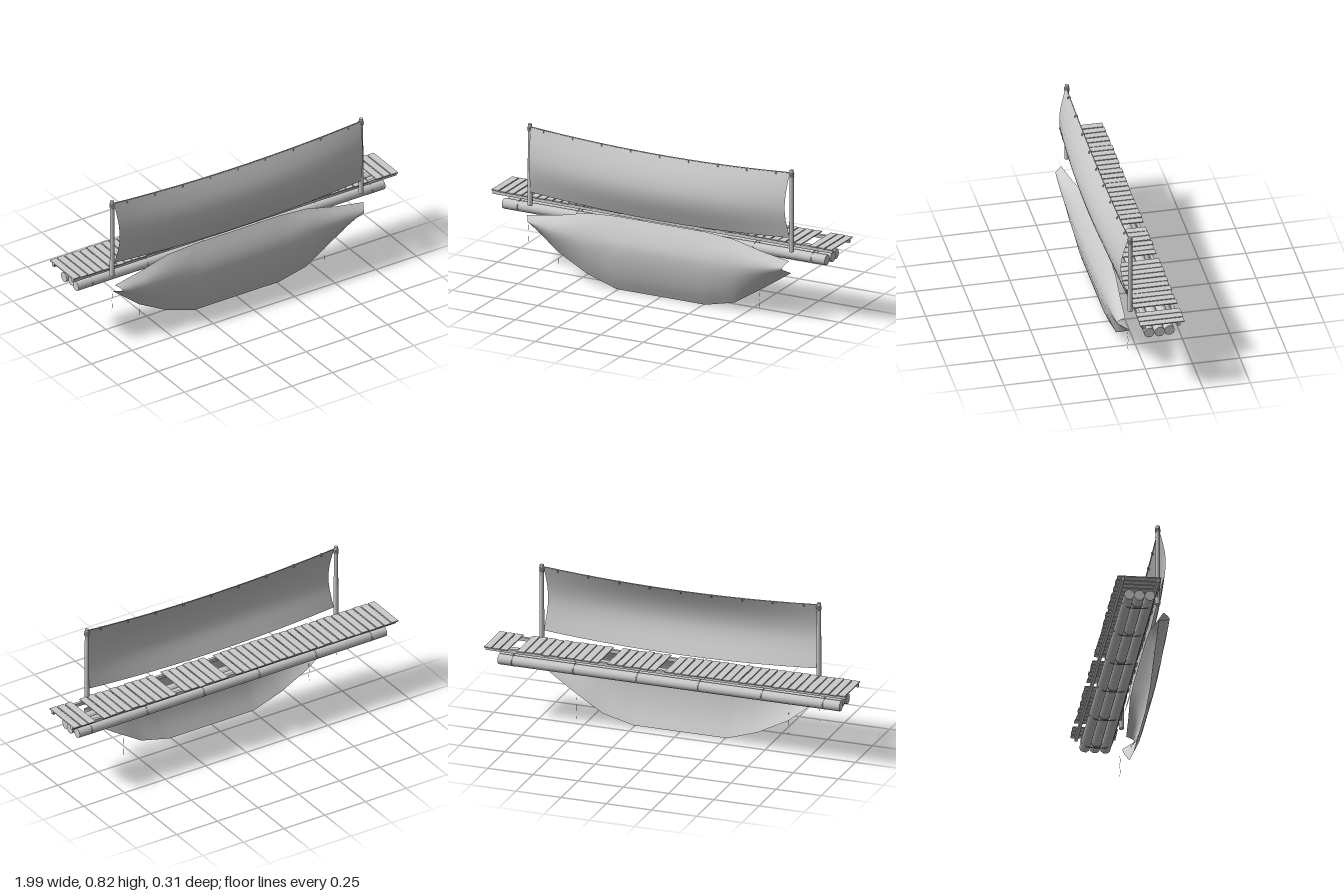
import * as THREE from 'three';

const grey = new THREE.MeshStandardMaterial({ color: 0xcccccc });
const flat = new THREE.MeshStandardMaterial({ color: 0xcccccc, flatShading: true });
const cloth = new THREE.MeshStandardMaterial({ color: 0xcccccc, side: THREE.DoubleSide });

const V = (x, y, z) => new THREE.Vector3(x, y, z);
const lerp = THREE.MathUtils.lerp;

let seed = 7;
const jitter = (a) => {
  seed = (seed * 16807) % 2147483647;
  return (seed / 2147483647 - 0.5) * 2 * a;
};

function add(parent, name, geometry, material, x = 0, y = 0, z = 0) {
  const mesh = new THREE.Mesh(geometry, material);
  mesh.name = name;
  mesh.position.set(x, y, z);
  parent.add(mesh);
  return mesh;
}

function rope(parent, name, points, radius, segments = 16, closed = false, sides = 5) {
  const curve = new THREE.CatmullRomCurve3(points, closed, 'centripetal');
  return add(parent, name, new THREE.TubeGeometry(curve, segments, radius, sides, closed), grey);
}

// Open sheet of cloth: point(u, v) with u along x and v from top to bottom
function sheet(parent, name, nu, nv, point) {
  const pos = [], idx = [];
  for (let i = 0; i <= nu; i++) {
    for (let j = 0; j <= nv; j++) {
      pos.push(...point(i / nu, j / nv).toArray());
      if (i < nu && j < nv) {
        const a = i * (nv + 1) + j, b = a + nv + 1;
        idx.push(a, a + 1, b, b, a + 1, b + 1);
      }
    }
  }
  const g = new THREE.BufferGeometry();
  g.setAttribute('position', new THREE.Float32BufferAttribute(pos, 3));
  g.setIndex(idx);
  g.computeVertexNormals();
  return add(parent, name, g, cloth);
}

const topEdge = (x) => 0.782 + 0.03 * (x / 0.765) ** 2;

function upperSail(parent) {
  const profile = new THREE.CatmullRomCurve3(
    [[0, 0], [0.22, 0.62], [0.45, 1], [0.62, 0.95], [0.82, 0.55], [1, 0.1]].map(([t, d]) => V(t, d, 0)));
  sheet(parent, 'upperSail', 24, 10, (u, v) => {
    const s = u * 2 - 1;
    const p = profile.getPoint(v);
    const x = s * (0.76 - 0.012 * Math.sin(Math.PI * v) * Math.abs(s) ** 6);
    const bottom = 0.425 + 0.033 * s * s;
    return V(x, lerp(topEdge(x), bottom, p.x), 0.092 + p.y * (0.062 - 0.025 * s * s));
  });

  // Head rope with lashing rings
  rope(parent, 'headRope', Array.from({ length: 13 }, (_, i) => {
    const x = -0.765 + i * 1.53 / 12;
    return V(x, topEdge(x) + 0.002, 0.09);
  }), 0.003, 36);
  const ring = new THREE.TorusGeometry(0.007, 0.003, 5, 10).rotateY(Math.PI / 2);
  for (let i = -4; i <= 4; i++) add(parent, 'sailRing', ring, grey, i * 0.17, topEdge(i * 0.17) - 0.004, 0.092);
}

function lowerSail(parent) {
  // Each station: x, then [y, z] from the top edge to the bottom edge
  const stations = [
    [-0.768, [0.335, 0.115], [0.325, 0.138], [0.312, 0.15], [0.302, 0.13], [0.288, 0.09]],
    [-0.6, [0.358, 0.1], [0.315, 0.142], [0.27, 0.15], [0.2, 0.118], [0.15, 0.084]],
    [-0.43, [0.395, 0.088], [0.33, 0.132], [0.25, 0.15], [0.14, 0.122], [0.06, 0.086]],
    [-0.26, [0.405, 0.085], [0.33, 0.126], [0.25, 0.15], [0.1, 0.124], [0.004, 0.083]],
    [0.26, [0.405, 0.085], [0.33, 0.126], [0.25, 0.15], [0.1, 0.124], [0.004, 0.083]],
    [0.43, [0.393, 0.088], [0.33, 0.132], [0.25, 0.15], [0.13, 0.122], [0.045, 0.086]],
    [0.6, [0.358, 0.1], [0.315, 0.142], [0.27, 0.15], [0.2, 0.116], [0.152, 0.083]],
    [0.765, [0.335, 0.11], [0.318, 0.135], [0.3, 0.15], [0.283, 0.125], [0.262, 0.088]],
  ];
  const curves = stations.map(([x, ...p]) => new THREE.CatmullRomCurve3(p.map(([y, z]) => V(x, y, z))));
  const n = stations.length - 1;
  sheet(parent, 'lowerSail', n * 4, 10, (u, v) => {
    const k = Math.min(Math.floor(u * n + 1e-6), n - 1);
    const p = curves[k].getPoint(v).lerp(curves[k + 1].getPoint(v), u * n - k);
    // Ends pull inward along the fold
    p.x -= Math.sign(p.x) * 0.022 * Math.sin(Math.PI * v) * Math.abs(p.x / 0.765) ** 8;
    return p;
  });

  // Frayed lines hanging from the lower edge
  for (const [x, y, z] of [[-0.77, 0.29, 0.088], [-0.6, 0.195, 0.083], [0.56, 0.13, 0.05]]) {
    rope(parent, 'looseLine', [0, 1, 2, 3, 4].map((i) => V(x, y - i * 0.03, z + (i % 2) * 0.004)), 0.0008, 10, false, 3);
  }
}

function deck(parent) {
  const count = 44, pitch = 2 / count, missing = [22, 29, 40];
  for (let i = 0; i < count; i++) {
    if (missing.includes(i)) continue;
    const plank = add(parent, 'plank', new THREE.BoxGeometry(pitch - 0.006, 0.006, 0.232 + jitter(0.004)), flat,
      -1 + (i + 0.5) * pitch, 0.423 + jitter(0.001), -0.037 + jitter(0.003));
    plank.rotation.y = jitter(0.008);
  }
  for (const z of [0.06, -0.124]) {
    add(parent, 'deckRail', new THREE.BoxGeometry(1.99, 0.018, 0.016), flat, 0, 0.41, z);
  }
}

function logs(parent) {
  const log = new THREE.CylinderGeometry(0.028, 0.028, 1.89, 10).rotateZ(Math.PI / 2);
  [0.022, -0.032, -0.086].forEach((z, i) =>
    add(parent, 'log', log, grey, [-0.005, 0.002, -0.008][i], 0.342 + (i === 1 ? 0.003 : 0), z));

  // Lashings wrapped round all three logs, and a tighter loop on the middle one
  for (const x of [-0.86, -0.52, -0.17, 0.17, 0.52, 0.86]) {
    const loop = [[0.052, 0.343], [0.022, 0.371], [-0.032, 0.377], [-0.086, 0.371],
      [-0.117, 0.343], [-0.086, 0.313], [-0.032, 0.308], [0.022, 0.313]];
    rope(parent, 'lashing', loop.map(([z, y]) => V(x, y, z)), 0.0028, 24, true);
    add(parent, 'logBand', new THREE.TorusGeometry(0.029, 0.0025, 5, 10).rotateY(Math.PI / 2), grey, x + 0.008, 0.345, -0.032);
  }
}

function posts(parent) {
  const band = new THREE.TorusGeometry(0.0125, 0.0025, 5, 12).rotateX(Math.PI / 2);
  for (const s of [-1, 1]) {
    const post = new THREE.Group();
    post.name = 'post';
    post.position.set(s * 0.766, 0, 0.085);
    add(post, 'postShaft', new THREE.CylinderGeometry(0.011, 0.0135, 0.447, 10), grey, 0, 0.6035, 0);
    for (const y of [0.793, 0.801, 0.809]) add(post, 'postBand', band, grey, 0, y, 0);
    parent.add(post);
  }
}

export function createModel() {
  const model = new THREE.Group();
  model.name = 'walkwayWithSails';
  deck(model);
  logs(model);
  posts(model);
  upperSail(model);
  lowerSail(model);
  return model;
}
